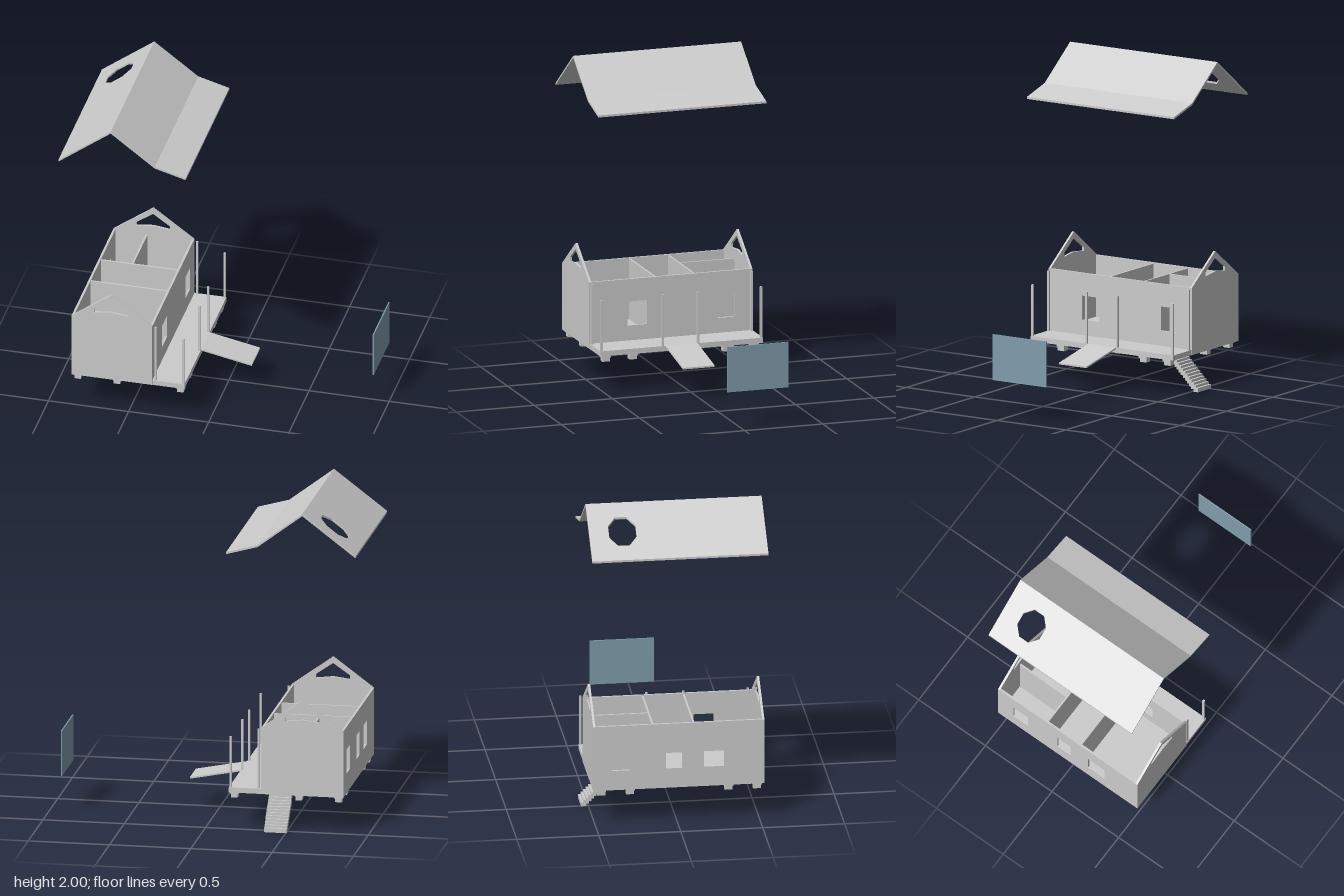
import * as THREE from 'three';

const grey = new THREE.MeshStandardMaterial({ color: 0xcccccc, flatShading: true, side: THREE.DoubleSide });
const blue = new THREE.MeshStandardMaterial({ color: 0x7f9cab, flatShading: true });

const FRONT = 0.53, BACK = -0.515, RIGHT = -0.85, LEFT = -0.345;
const BASE = 0.23, FLOOR = 0.262, EAVE = 0.645, RIDGE_X = -0.6;
const T = 0.014;

export function createModel() {
  const model = new THREE.Group();

  const add = (name, geometry, material = grey) => {
    const mesh = new THREE.Mesh(geometry, material);
    mesh.name = name;
    model.add(mesh);
    return mesh;
  };

  // Box given by its limits on each axis
  const box = (name, x0, x1, y0, y1, z0, z1, material) => {
    const g = new THREE.BoxGeometry(x1 - x0, y1 - y0, z1 - z0);
    g.translate((x0 + x1) / 2, (y0 + y1) / 2, (z0 + z1) / 2);
    return add(name, g, material);
  };

  const polygon = (pts) => pts.map(([a, b]) => new THREE.Vector2(a, b));
  const rect = (a0, a1, b0, b1) => polygon([[a0, b0], [a1, b0], [a1, b1], [a0, b1]]);
  const extrude = (outline, holes, depth) => {
    const shape = new THREE.Shape(outline);
    holes.forEach((h) => shape.holes.push(new THREE.Path(h)));
    return new THREE.ExtrudeGeometry(shape, { depth, bevelEnabled: false });
  };

  // Floor slab under the rooms and the porch
  box('floor', RIGHT + 0.002, -0.145, BASE, FLOOR, BACK + 0.002, FRONT - 0.002);

  // Long walls, each window given as a range of z
  const longWall = (name, xOuter, windows) => {
    const holes = windows.map(([z0, z1]) => rect(z0, z1, 0.355, 0.505));
    const g = extrude(rect(BACK, FRONT, BASE, EAVE), holes, T);
    g.rotateY(-Math.PI / 2);
    g.translate(xOuter, 0, 0);
    add(name, g);
  };
  longWall('windowWall', RIGHT + T, [[-0.4, -0.29], [-0.07, 0.03], [0.16, 0.285]]);
  longWall('porchWall', LEFT, [[-0.4, -0.29], [0.16, 0.285]]);

  // Gable walls with an open vent under the ridge
  const gable = polygon([[RIGHT, BASE], [LEFT, BASE], [LEFT, EAVE], [RIDGE_X, 0.83], [RIGHT, EAVE]]);
  const vent = polygon([[-0.705, 0.692], [-0.6, 0.705], [-0.495, 0.692], [-0.495, 0.717], [-0.6, 0.79], [-0.705, 0.717]]);
  for (const [name, z] of [['frontGable', FRONT - T], ['backGable', BACK]]) {
    const g = extrude(gable, [vent], T);
    g.translate(0, 0, z);
    add(name, g);
  }

  // Partitions between the rooms
  for (const z of [-0.15, 0.1]) {
    box('crossPartition', RIGHT + T, LEFT - T, FLOOR, EAVE - 0.005, z - 0.006, z + 0.006);
  }
  box('lengthPartition', -0.646, -0.634, FLOOR, EAVE - 0.005, BACK + T, -0.15);

  // Porch posts: tall ones beside the wall, shorter ones on the outer edge
  for (const z of [0.518, -0.503]) {
    box('wallPost', -0.333, -0.32, FLOOR, 0.635, z - 0.0065, z + 0.0065);
  }
  for (const z of [0.518, 0.125, -0.1, -0.503]) {
    box('porchPost', -0.161, -0.148, FLOOR, 0.58, z - 0.0065, z + 0.0065);
  }

  // Footings: a cap on a narrower block
  const footing = (x, z) => {
    box('footingCap', x - 0.026, x + 0.026, 0.217, BASE, z - 0.028, z + 0.028);
    box('footingBlock', x - 0.02, x + 0.02, 0.193, 0.217, z - 0.024, z + 0.024);
  };
  for (const z of [0.487, 0.313, -0.287, -0.462]) {
    footing(-0.815, z);
    footing(-0.175, z);
  }
  footing(-0.57, 0.487);
  footing(-0.57, -0.462);

  // Sheet drawn in plan and bent to follow a straight line from (x0,y0) to (x1,y1)
  const slope = (name, [x0, y0], [x1, y1], z0, z1, thickness, holes = []) => {
    const g = extrude(rect(x0, x1, -z1, -z0), holes, thickness);
    g.rotateX(-Math.PI / 2);
    const p = g.attributes.position;
    for (let i = 0; i < p.count; i++) {
      const t = (p.getX(i) - x0) / (x1 - x0);
      p.setY(i, p.getY(i) - thickness + y0 + t * (y1 - y0));
    }
    g.computeVertexNormals();
    add(name, g);
  };

  // Raised roof, with an octagonal opening in the right slope
  const octagon = [];
  for (let i = 0; i < 8; i++) {
    const a = (i + 0.5) * Math.PI / 4;
    octagon.push(new THREE.Vector2(-0.764 + 0.087 * Math.cos(a), 0.326 + 0.09 * Math.sin(a)));
  }
  const roofEdges = [[-0.927, 1.752], [RIDGE_X, 2], [-0.325, 1.793], [-0.132, 1.74]];
  ['roofRight', 'roofLeft', 'porchRoof'].forEach((name, i) =>
    slope(name, roofEdges[i], roofEdges[i + 1], -0.53, 0.545, 0.013, i === 0 ? [octagon] : []));

  // Ramp from the porch
  slope('ramp', [-0.145, FLOOR], [0.17, 0.2], -0.095, 0.108, 0.01);

  // Back stairs
  const steps = 14;
  for (let i = 0; i < steps; i++) {
    const y = i * 0.0154, z = -0.545 + i * 0.0154;
    box('stairStep', -0.507, -0.367, y, y + 0.026, z, z + 0.034);
  }

  // Separate upright panel
  box('sidePanel', 0.917, 0.925, 0.227, 0.51, -0.307, 0.085, blue);

  return model;
}
